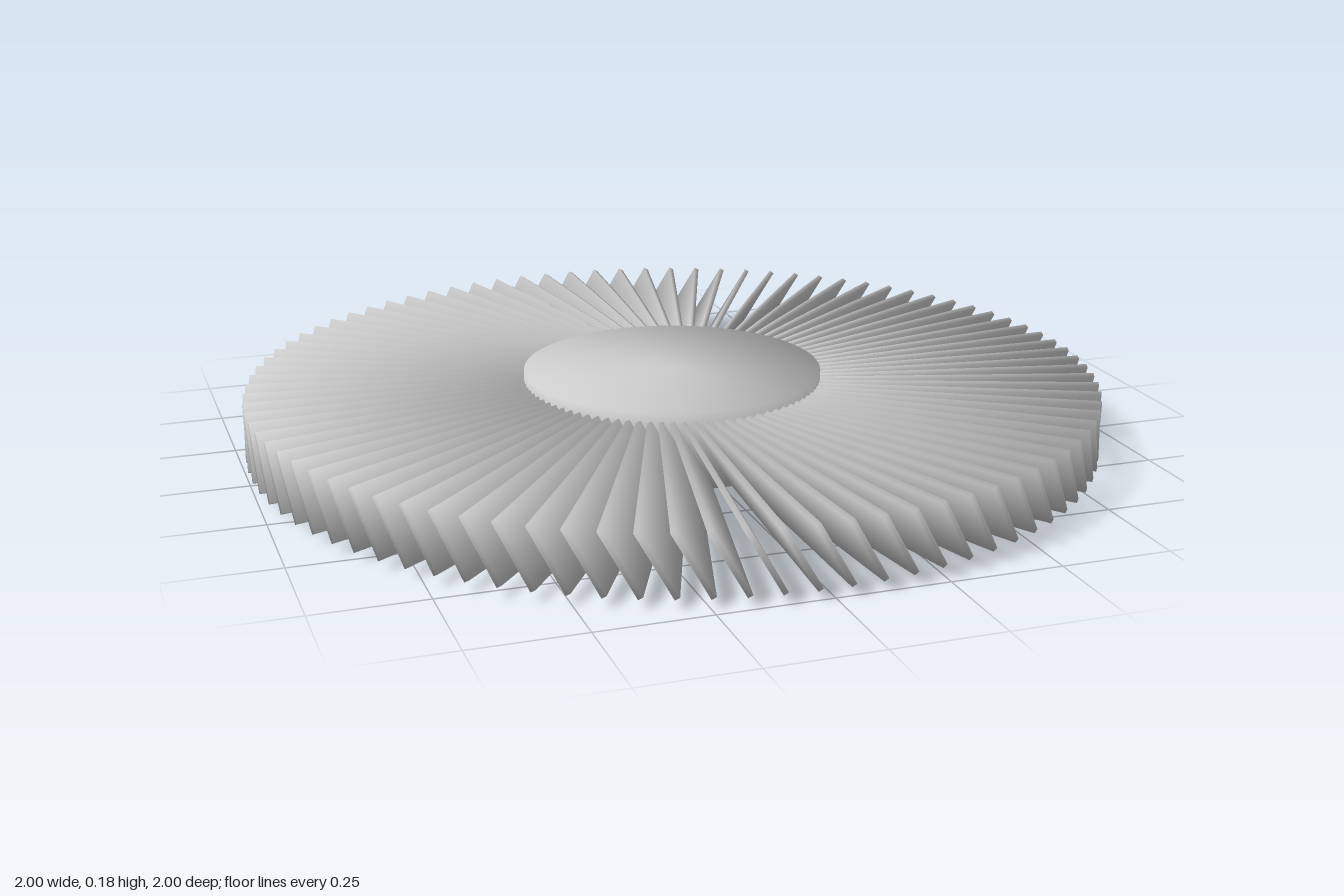
import * as THREE from 'three';

const BLADES = 88, HUB_R = 0.35, HEIGHT = 0.18, TIP_R = 0.999;
const LEAN = Math.PI / 6;

// Set smooth normals from a rule, so shading flows across every edge.
function softened(geometry, rule) {
  const position = geometry.attributes.position;
  const point = new THREE.Vector3();
  for (let i = 0; i < position.count; i++) {
    const normal = rule(point.fromBufferAttribute(position, i)).normalize();
    geometry.attributes.normal.setXYZ(i, normal.x, normal.y, normal.z);
  }
  return geometry;
}

export function createModel() {
  const model = new THREE.Group();
  model.name = 'bladedWheel';
  const metal = new THREE.MeshStandardMaterial({ color: 0xcccccc });
  metal.name = 'light grey metal';

  // Central hub, slightly taller than the blades, with softened rims
  const hubGeometry = softened(
    new THREE.CylinderGeometry(HUB_R, HUB_R, HEIGHT, 64),
    (p) => new THREE.Vector3(p.x / HUB_R, Math.sign(p.y), p.z / HUB_R),
  );
  const hub = new THREE.Mesh(hubGeometry, metal);
  hub.name = 'hub';
  hub.position.y = HEIGHT / 2;
  model.add(hub);

  // One thin radial blade with softened corners, leaned about its own length
  const rootR = HUB_R - 0.02;
  const bladeGeometry = softened(
    new THREE.BoxGeometry(TIP_R - rootR, 0.16, 0.012),
    (p) => new THREE.Vector3(Math.sign(p.x), Math.sign(p.y), Math.sign(p.z)),
  );
  bladeGeometry.rotateX(LEAN);
  bladeGeometry.translate((TIP_R + rootR) / 2, 0, 0);

  // Ring of blades
  const ring = new THREE.Group();
  ring.name = 'bladeRing';
  ring.position.y = HEIGHT / 2;
  for (let i = 0; i < BLADES; i++) {
    const blade = new THREE.Mesh(bladeGeometry, metal);
    blade.name = 'blade';
    blade.rotation.y = (i / BLADES) * Math.PI * 2;
    ring.add(blade);
  }
  model.add(ring);
  return model;
}
